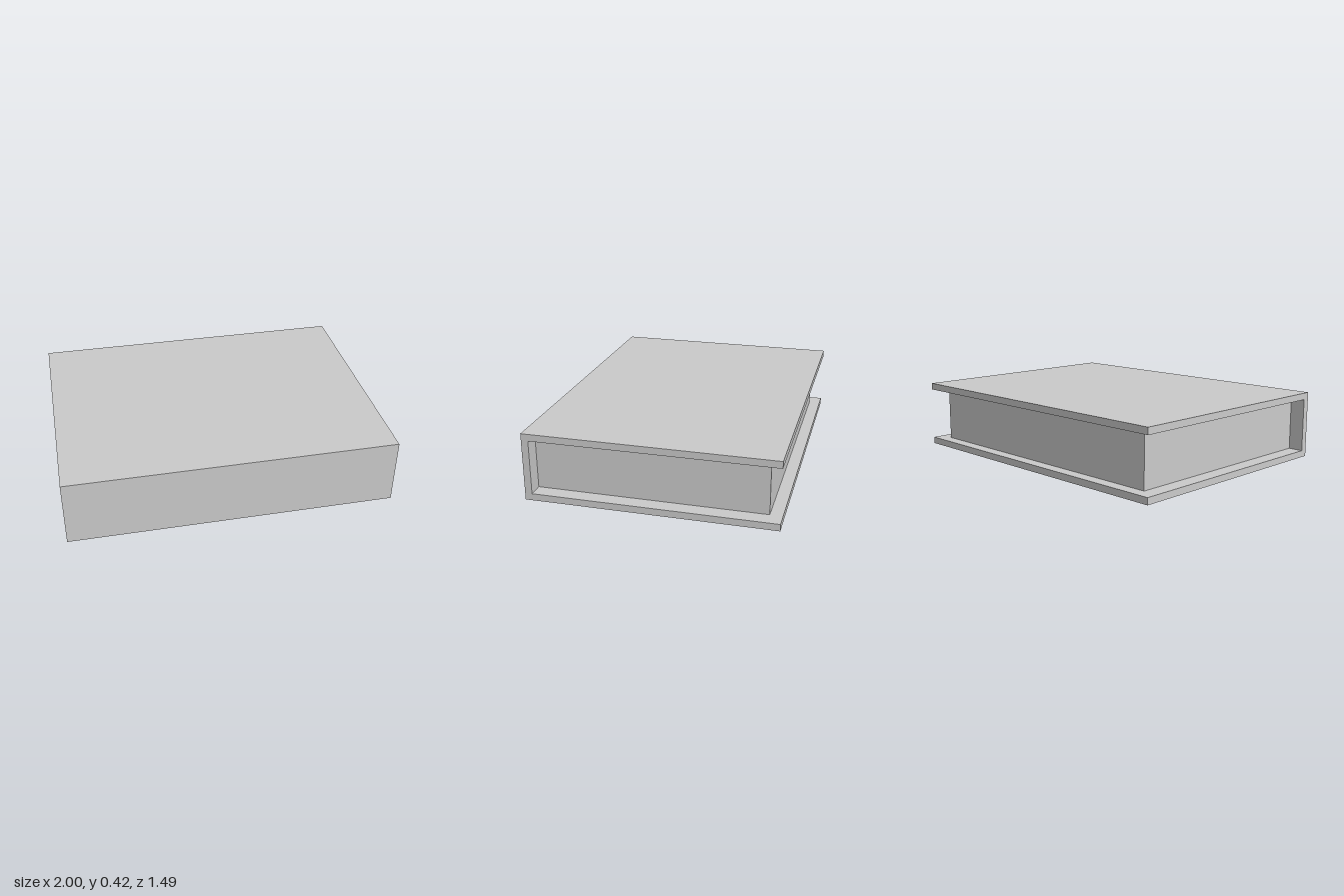
import * as THREE from 'three';

const WIDTH = 2, HEIGHT = 0.416, HALF_DEPTH = 0.747;
const BOARD = 0.042;          // thickness of the cover boards
const SPINE_INNER = 0.704;    // inner face of the spine
const PAGE_BACK = -0.673;     // free edge of the pages
const PAGE_INSET = 0.094;     // gap at both ends of the page block

export function createModel() {
  const book = new THREE.Group();
  book.name = 'book';
  const grey = new THREE.MeshStandardMaterial({ color: 0xcccccc });
  grey.name = 'light grey';

  // Cover: C-shaped section (drawn in z, y) extruded along the width
  const section = new THREE.Shape([
    [HALF_DEPTH, 0], [HALF_DEPTH, HEIGHT], [-HALF_DEPTH, HEIGHT],
    [-HALF_DEPTH, HEIGHT - BOARD], [SPINE_INNER, HEIGHT - BOARD],
    [SPINE_INNER, BOARD], [-HALF_DEPTH, BOARD], [-HALF_DEPTH, 0],
  ].map(([z, y]) => new THREE.Vector2(-z, y)));
  const coverGeometry = new THREE.ExtrudeGeometry(section, { depth: WIDTH, bevelEnabled: false });
  coverGeometry.translate(0, 0, -WIDTH / 2).rotateY(Math.PI / 2);
  const cover = new THREE.Mesh(coverGeometry, grey);
  cover.name = 'cover';

  // Page block between the boards, against the spine
  const pages = new THREE.Mesh(
    new THREE.BoxGeometry(WIDTH - 2 * PAGE_INSET, HEIGHT - 2 * BOARD, SPINE_INNER - PAGE_BACK), grey);
  pages.position.set(0, HEIGHT / 2, (SPINE_INNER + PAGE_BACK) / 2);
  pages.name = 'pages';

  book.add(cover, pages);
  return book;
}
